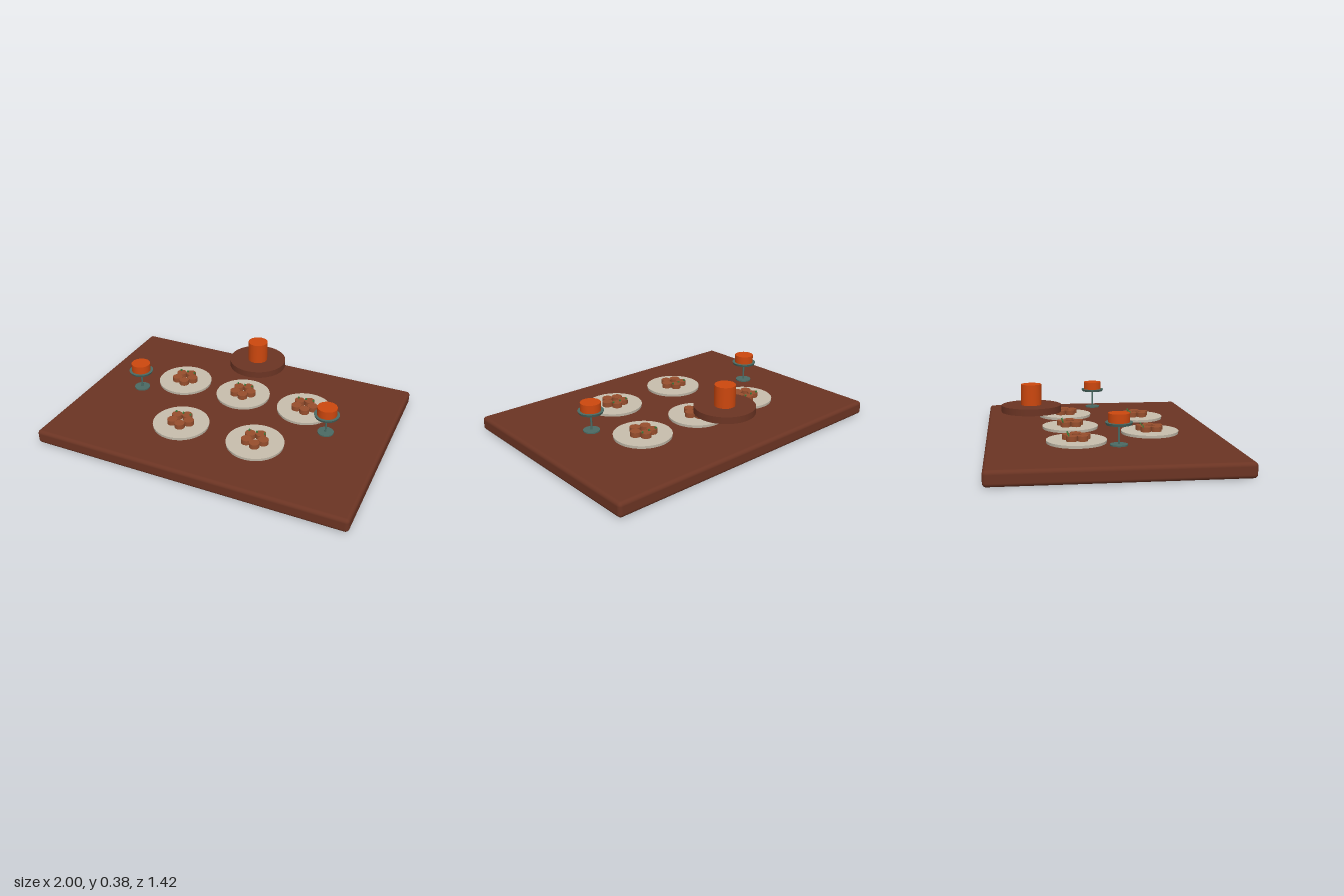
import * as THREE from 'three';
import { RoundedBoxGeometry } from 'three/addons/geometries/RoundedBoxGeometry.js';

const material = (name, color) => {
  const m = new THREE.MeshStandardMaterial({ color });
  m.name = name;
  return m;
};

export function createModel() {
  const wood = material('wood brown', 0x6b3423);
  const orange = material('orange icing', 0xcc470e);
  const china = material('cream china', 0xc6bdac);
  const pastryBrown = material('pastry brown', 0x964e2d);
  const metal = material('green metal', 0x4a6a63);
  const green = material('leaf green', 0x3f7a3a);

  const model = new THREE.Group();
  model.name = 'dessertTable';

  const add = (parent, name, geometry, mat, x, y, z) => {
    const mesh = new THREE.Mesh(geometry, mat);
    mesh.name = name;
    mesh.position.set(x, y, z);
    parent.add(mesh);
    return mesh;
  };
  // Upright disc or column between two heights
  const disc = (parent, name, mat, rTop, rBottom, y0, y1, sides = 32, x = 0, z = 0) =>
    add(parent, name, new THREE.CylinderGeometry(rTop, rBottom, y1 - y0, sides), mat, x, (y0 + y1) / 2, z);

  const group = (name, x, z) => {
    const g = new THREE.Group();
    g.name = name;
    g.position.set(x, 0, z);
    model.add(g);
    return g;
  };

  // Table top
  add(model, 'tableTop', new RoundedBoxGeometry(2, 0.088, 1.424, 4, 0.022), wood, 0, 0.044, 0);

  // Plates, each with a ring of five pastries and three little leaves
  const plates = [[-0.43, -0.187], [0, -0.187], [0.43, -0.187], [-0.215, 0.285], [0.285, 0.285]];
  for (const [x, z] of plates) {
    const g = group('pastryPlate', x, z);
    disc(g, 'plate', china, 0.177, 0.175, 0.096, 0.113, 48);
    for (let i = 0; i < 5; i++) {
      const a = (i * Math.PI * 2) / 5;
      disc(g, 'pastry', pastryBrown, 0.032, 0.032, 0.112, 0.143, 20, Math.cos(a) * 0.054, Math.sin(a) * 0.054);
    }
    for (let i = 0; i < 3; i++) {
      add(g, 'leaf', new THREE.BoxGeometry(0.009, 0.014, 0.009), green, -0.058 + i * 0.05, 0.146, -0.05);
    }
  }

  // Pair of small footed cake stands
  for (const side of [-1, 1]) {
    const g = group(side > 0 ? 'leftCakeStand' : 'rightCakeStand', side * 0.643, 0.029);
    disc(g, 'standFoot', metal, 0.05, 0.05, 0.119, 0.127);
    disc(g, 'standStem', metal, 0.006, 0.006, 0.125, 0.237, 12);
    disc(g, 'standDish', metal, 0.078, 0.072, 0.236, 0.251);
    disc(g, 'smallCake', orange, 0.061, 0.061, 0.25, 0.302, 24);
  }

  // Raised tray with the tall cake
  const centre = group('centrepiece', 0, -0.431);
  disc(centre, 'tray', wood, 0.186, 0.186, 0.209, 0.251, 48);
  disc(centre, 'tallCake', orange, 0.064, 0.064, 0.25, 0.381, 16);

  return model;
}
